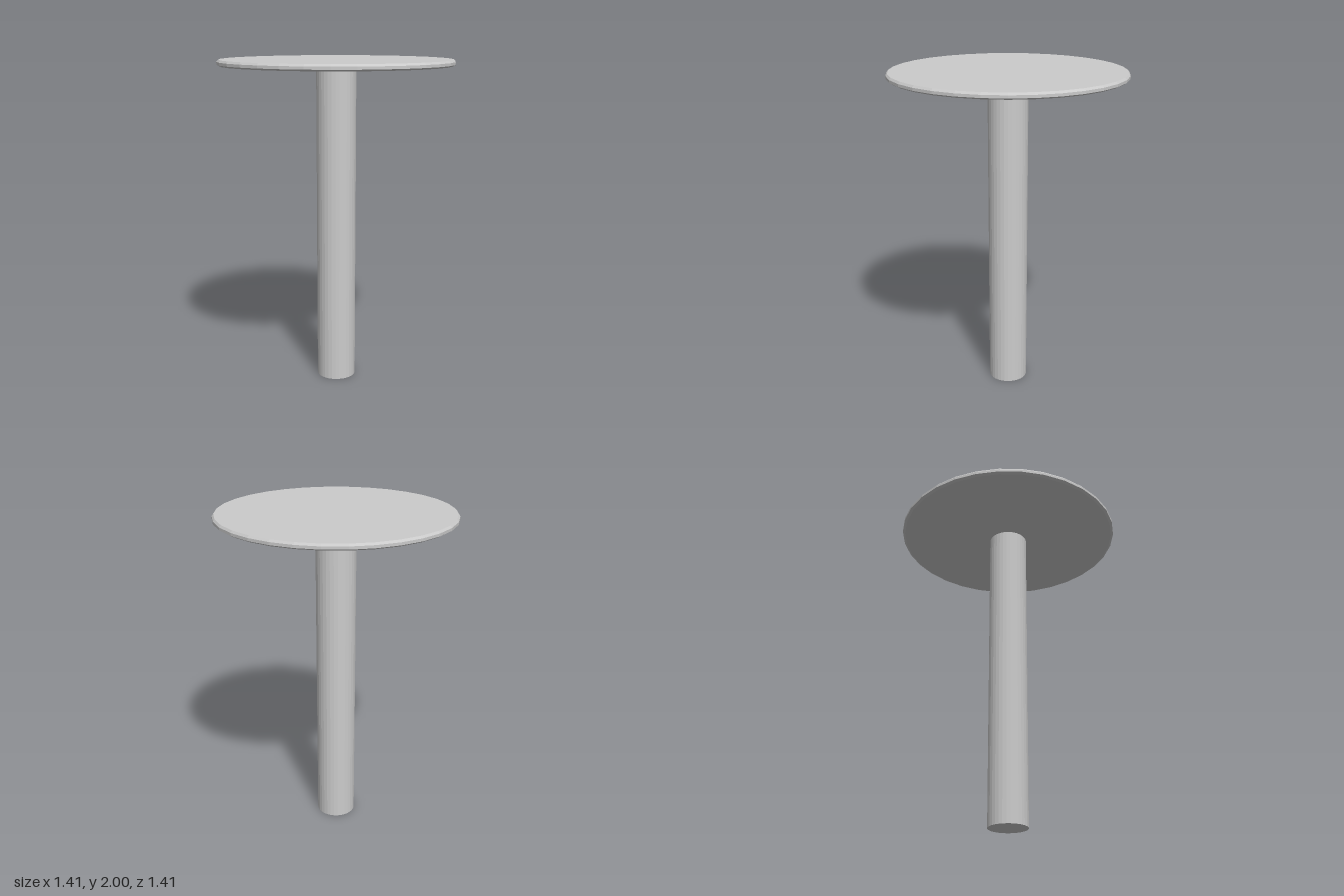
import * as THREE from 'three';

const SIDES = 32;

export function createModel() {
  const group = new THREE.Group();
  group.name = 'pedestalTable';
  const material = new THREE.MeshStandardMaterial({ color: 0xcccccc, flatShading: true });

  // Revolves an outline, given from the bottom up, around the y axis
  const addTurned = (name, outline) => {
    const points = outline.map(([r, y]) => new THREE.Vector2(r, y));
    const mesh = new THREE.Mesh(new THREE.LatheGeometry(points, SIDES), material);
    mesh.name = name;
    group.add(mesh);
  };

  // Straight round column, closed at the foot and running into the top
  addTurned('column', [[0, 0], [0.12, 0], [0.12, 1.955], [0, 1.955]]);

  // Thin round top: shallow conical underside, bevelled rim, flat surface
  addTurned('tableTop', [
    [0, 1.943], [0.12, 1.946], [0.69, 1.963], [0.705, 1.972],
    [0.705, 1.988], [0.695, 2], [0, 2],
  ]);

  return group;
}
